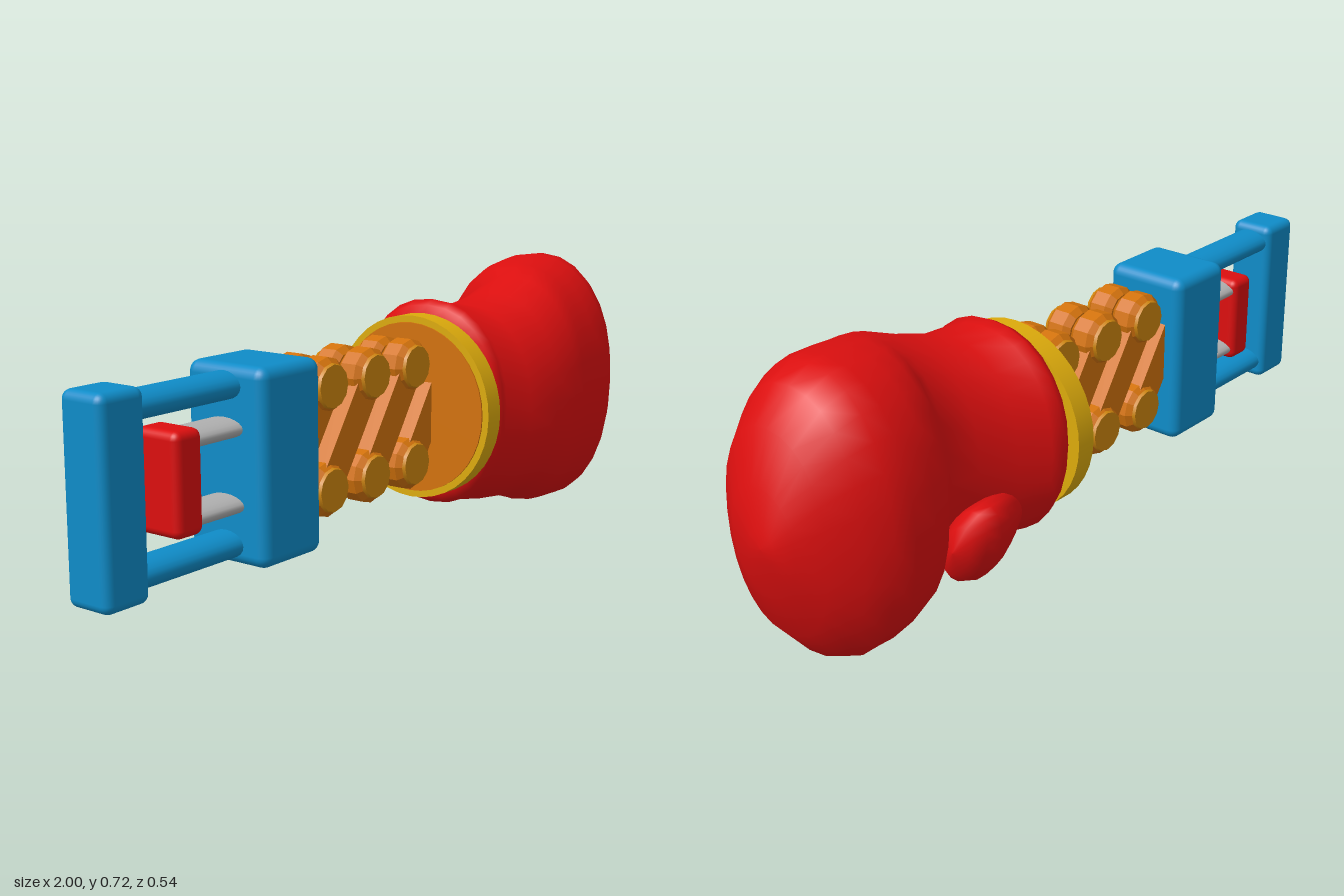
import * as THREE from 'three';
import { RoundedBoxGeometry } from 'three/addons/geometries/RoundedBoxGeometry.js';

const material = (name, color) => {
  const m = new THREE.MeshStandardMaterial({ color });
  m.name = name;
  return m;
};

// Smooth skin through cross-sections [x, yTop, yBottom, zBack, zFront]
function loft(sections, { sides = 28, power = 2, shear = 0 } = {}) {
  const pos = [], index = [];
  const round = v => Math.sign(v) * Math.pow(Math.abs(v), 2 / power);
  sections.forEach(([x, y1, y0, z0, z1], i) => {
    for (let j = 0; j < sides; j++) {
      const t = (j / sides) * Math.PI * 2;
      const dy = round(Math.sin(t)) * (y1 - y0) / 2;
      pos.push(x, (y0 + y1) / 2 + dy, (z0 + z1) / 2 + round(Math.cos(t)) * (z1 - z0) / 2 - dy * shear);
      if (i === sections.length - 1) continue;
      const a = i * sides + j, c = i * sides + (j + 1) % sides;
      index.push(a, a + sides, c, a + sides, c + sides, c);
    }
  });
  const g = new THREE.BufferGeometry();
  g.setAttribute('position', new THREE.Float32BufferAttribute(pos, 3));
  g.setIndex(index);
  g.computeVertexNormals();
  return g;
}

export function createModel() {
  const red = material('glove red', 0xdc0f0f);
  const blue = material('handle blue', 0x0f8cc8);
  const grey = material('rod grey', 0xb0b0b0);
  const orange = material('linkage orange', 0xd2720c);
  const amber = material('bolt amber', 0xcf860e);
  const yellow = material('cuff yellow', 0xdcaa0c);

  const model = new THREE.Group();
  const add = (name, geometry, mat, x, y, z) => {
    const mesh = new THREE.Mesh(geometry, mat);
    mesh.name = name;
    mesh.position.set(x, y, z);
    model.add(mesh);
    return mesh;
  };
  // Oval rod lying along x
  const rod = (name, mat, x0, x1, y, ry, rz) => {
    const g = new THREE.CylinderGeometry(1, 1, x1 - x0, 20).rotateZ(Math.PI / 2).scale(1, ry, rz);
    add(name, g, mat, (x0 + x1) / 2, y, 0);
  };

  // Handle frame
  add('handleBar', new RoundedBoxGeometry(0.13, 0.47, 0.125, 3, 0.022), blue, -0.935, 0.345, 0);
  add('handleBody', new RoundedBoxGeometry(0.21, 0.465, 0.235, 3, 0.028), blue, -0.465, 0.345, 0);
  for (const y of [0.53, 0.16]) rod('handleRod', blue, -0.9, -0.5, y, 0.033, 0.052);

  // Trigger on its sliding rods
  add('trigger', new RoundedBoxGeometry(0.085, 0.24, 0.13, 3, 0.02), red, -0.7475, 0.345, 0);
  for (const y of [0.433, 0.255]) rod('triggerRod', grey, -0.73, -0.5, y, 0.024, 0.057);

  // Scissor linkage: parallel bars in a front and a back layer, crossing each other
  const high = 0.49, low = 0.235, pitch = 0.17, firstX = -0.27;
  const barLength = Math.hypot(pitch, high - low);
  const barAngle = Math.atan2(high - low, pitch);
  for (const side of [1, -1]) {
    const z = side * 0.04 - 0.004;
    for (let i = 0; i < 4; i++) {
      const bar = add('scissorBar', new THREE.BoxGeometry(barLength, 0.087, 0.06), orange,
        firstX + (i - 0.5) * pitch, (high + low) / 2, z);
      bar.rotation.z = side * barAngle;
    }
    // Chamfered pivots with bolt caps
    const profile = [[0, -0.038], [0.054, -0.038], [0.069, -0.022], [0.069, 0.022], [0.054, 0.038], [0, 0.038]]
      .map(p => new THREE.Vector2(...p));
    for (let i = 0; i < 3; i++) for (const y of [high, low]) {
      const x = firstX + i * pitch;
      const pivotGeometry = new THREE.LatheGeometry(profile, 12).toNonIndexed();
      pivotGeometry.computeVertexNormals();
      add('pivot', pivotGeometry.rotateX(Math.PI / 2), orange, x, y, z);
      add('boltCap', new THREE.CylinderGeometry(0.053, 0.056, 0.008, 12).rotateX(side * Math.PI / 2),
        amber, x, y, z + side * 0.04);
    }
  }

  // Cuff with its mounting plate
  add('cuff', new THREE.CylinderGeometry(0.243, 0.243, 0.055, 40).rotateZ(Math.PI / 2), yellow, 0.1825, 0.362, -0.002);
  add('cuffPlate', new THREE.CylinderGeometry(0.225, 0.225, 0.006, 40).rotateZ(Math.PI / 2), orange, 0.154, 0.362, -0.002);

  // Glove: flared wrist, palm hollow at the back, full fist
  add('glove', loft([
    [0.2, 0.36, 0.36, 0, 0],
    [0.2, 0.585, 0.125, -0.205, 0.205],
    [0.225, 0.625, 0.095, -0.222, 0.222],
    [0.25, 0.638, 0.085, -0.23, 0.225],
    [0.275, 0.628, 0.088, -0.218, 0.22],
    [0.35, 0.615, 0.08, -0.182, 0.25],
    [0.45, 0.64, 0.075, -0.15, 0.27],
    [0.54, 0.675, 0.045, -0.14, 0.274],
    [0.59, 0.695, 0.028, -0.185, 0.27],
    [0.63, 0.703, 0.018, -0.222, 0.266],
    [0.69, 0.712, 0.008, -0.242, 0.26],
    [0.76, 0.717, 0.002, -0.25, 0.252],
    [0.81, 0.715, 0, -0.238, 0.23],
    [0.87, 0.685, 0.03, -0.21, 0.2],
    [0.93, 0.605, 0.105, -0.16, 0.165],
    [0.975, 0.49, 0.23, -0.11, 0.09],
    [0.997, 0.4, 0.32, -0.07, 0.01],
    [1, 0.36, 0.36, -0.03, -0.03],
  ], { power: 2.2 }), red, 0, 0, 0);

  // Thumb folded against the palm, leaning outwards at the top
  add('thumb', loft([
    [0.3, 0.19, 0.19, -0.1, -0.1],
    [0.33, 0.25, 0.13, -0.165, -0.07],
    [0.4, 0.295, 0.105, -0.21, -0.09],
    [0.46, 0.32, 0.095, -0.242, -0.1],
    [0.51, 0.33, 0.1, -0.258, -0.11],
    [0.55, 0.325, 0.12, -0.252, -0.125],
    [0.58, 0.295, 0.155, -0.232, -0.15],
    [0.592, 0.225, 0.225, -0.19, -0.19],
  ], { sides: 18, shear: 0.35 }), red, 0, 0, 0);

  return model;
}
